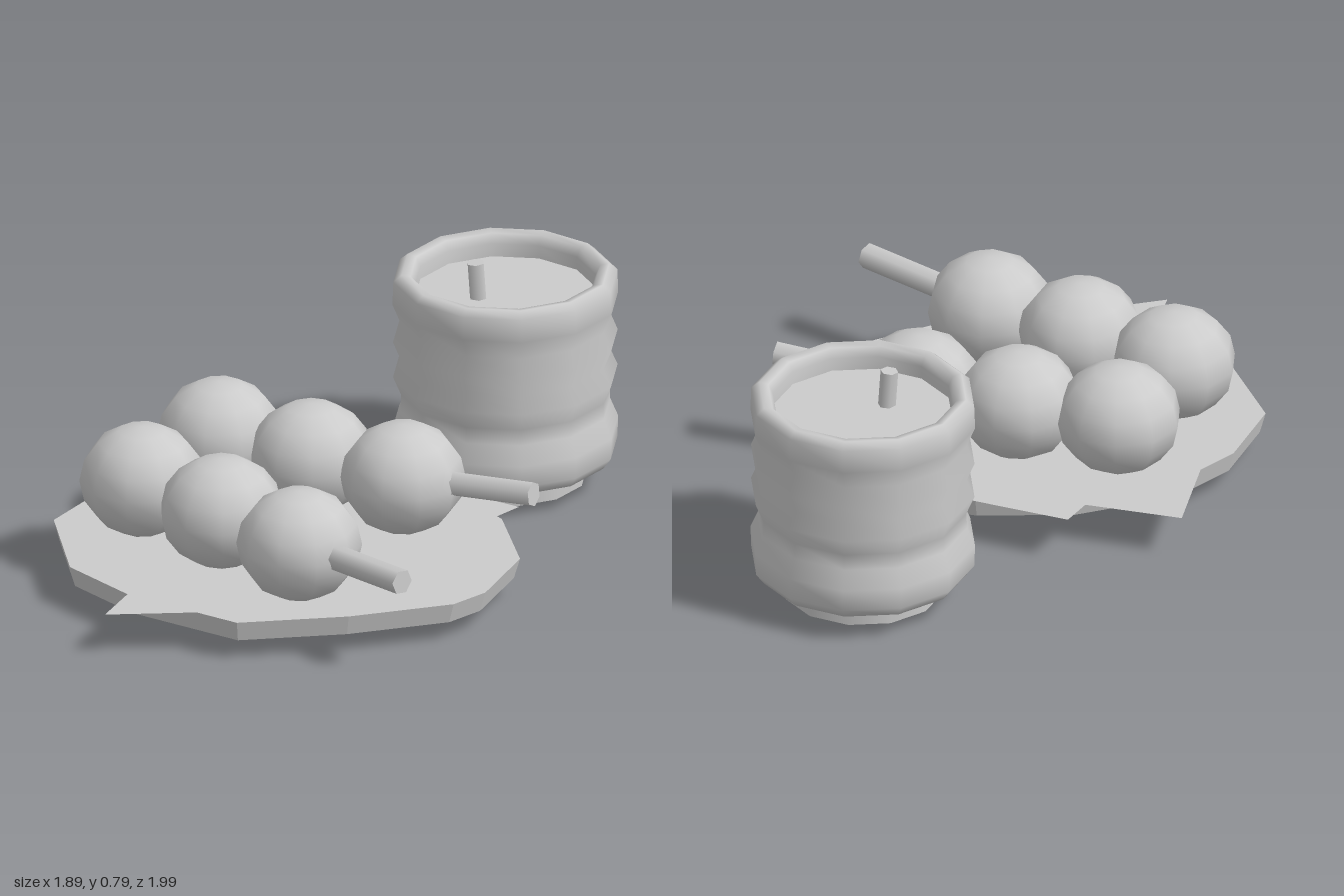
import * as THREE from 'three';
import { ConvexGeometry } from 'three/addons/geometries/ConvexGeometry.js';

const grey = { color: 0xcccccc };
const smooth = new THREE.MeshStandardMaterial(grey);
const flat = new THREE.MeshStandardMaterial({ ...grey, flatShading: true });
const thin = new THREE.MeshStandardMaterial({ ...grey, side: THREE.DoubleSide });
const V = (x, y, z) => new THREE.Vector3(x, y, z);

function add(parent, name, geometry, material) {
  const mesh = new THREE.Mesh(geometry, material);
  mesh.name = name;
  parent.add(mesh);
  return mesh;
}

// Round rod between two points
function rod(parent, name, from, to, radius) {
  const dir = to.clone().sub(from);
  const mesh = add(parent, name, new THREE.CylinderGeometry(radius, radius, dir.length(), 6), smooth);
  mesh.position.copy(from).add(to).multiplyScalar(0.5);
  mesh.quaternion.setFromUnitVectors(V(0, 1, 0), dir.normalize());
}

// Thin flat sheet from an outline of (x, z) corners
function sheet(parent, name, outline, y) {
  const shape = new THREE.Shape(outline.map(([x, z]) => new THREE.Vector2(x, z)));
  const mesh = add(parent, name, new THREE.ShapeGeometry(shape).rotateX(Math.PI / 2), thin);
  mesh.position.y = y;
}

// Faceted plate with a shallow pointed underside
function makePlate() {
  const rim = [
    [-0.95, -0.06], [-0.78, -0.29], [-0.56, -0.42], [-0.2, -0.45], [0.12, -0.37], [0.37, -0.22],
    [0.52, 0.02], [0.56, 0.35], [0.43, 0.62], [0.32, 0.71], [-0.03, 0.79], [-0.4, 0.82],
    [-0.74, 0.57], [-0.92, 0.33],
  ];
  const cx = -0.23, cz = 0.16;
  const points = [V(cx, 0, cz)];
  for (const [x, z] of rim) {
    points.push(V(x, 0.135, z));
    points.push(V(cx + (x - cx) * 0.975, 0.065, cz + (z - cz) * 0.975));
  }
  return new ConvexGeometry(points);
}

// Three dumplings on a stick
function makeSkewer(name, centres, tip) {
  const group = new THREE.Group();
  group.name = name;
  centres.forEach(([x, y, z], i) => {
    const ball = add(group, 'dumpling', new THREE.SphereGeometry(0.207, 10, 8), smooth);
    ball.scale.y = 0.91;
    ball.rotation.y = i * 0.9;
    ball.position.set(x, y, z);
  });
  rod(group, 'stick', V(...centres[2]), V(...tip), 0.043);
  return group;
}

// Ribbed cup with foot, drink and floating stalk
function makeCup() {
  const group = new THREE.Group();
  group.name = 'cup';
  const profile = [
    [0, 0.085], [0.3, 0.085], [0.345, 0.088], [0.372, 0.125], [0.375, 0.2], [0.348, 0.265],
    [0.346, 0.32], [0.373, 0.385], [0.347, 0.445], [0.373, 0.51], [0.347, 0.575], [0.375, 0.645],
    [0.372, 0.725], [0.345, 0.748], [0.315, 0.742], [0.3, 0.71], [0.3, 0.64],
  ].map(([r, y]) => new THREE.Vector2(r, y));
  const turn = 0.087;
  add(group, 'cupBody', new THREE.LatheGeometry(profile, 12, turn), thin);
  const foot = add(group, 'cupFoot', new THREE.CylinderGeometry(0.27, 0.27, 0.08, 12, 1, false, turn), smooth);
  foot.position.y = 0.055;
  const drink = add(group, 'drink', new THREE.CylinderGeometry(0.305, 0.305, 0.01, 12, 1, false, turn), smooth);
  drink.position.y = 0.66;
  rod(group, 'floatingStalk', V(-0.09, 0.64, 0.035), V(-0.1, 0.79, 0.035), 0.03);
  group.position.set(0.57, 0, -0.625);
  return group;
}

export function createModel() {
  const model = new THREE.Group();
  model.name = 'dumplingsAndDrink';

  add(model, 'plate', makePlate(), flat);

  // Two overlapping wrapping sheets
  sheet(model, 'lowerSheet', [
    [-0.5, -0.68], [0.48, -0.1], [0.0, 0.52], [-0.5, 0.745], [-0.83, 0.745], [-0.6, 0.3], [-0.76, -0.14],
  ], 0.143);
  sheet(model, 'upperSheet', [
    [-0.13, -0.615], [0.45, -0.175], [0.48, -0.1], [0.58, -0.03], [0.06, 0.46], [-0.65, -0.09],
  ], 0.155);

  model.add(makeSkewer('leftSkewer',
    [[-0.39, 0.33, -0.29], [-0.1, 0.325, -0.1], [0.19, 0.325, 0.09]], [0.605, 0.365, 0.35]));
  model.add(makeSkewer('rightSkewer',
    [[-0.665, 0.318, 0.04], [-0.42, 0.315, 0.31], [-0.18, 0.305, 0.57]], [0.135, 0.33, 0.965]));

  model.add(makeCup());
  return model;
}
